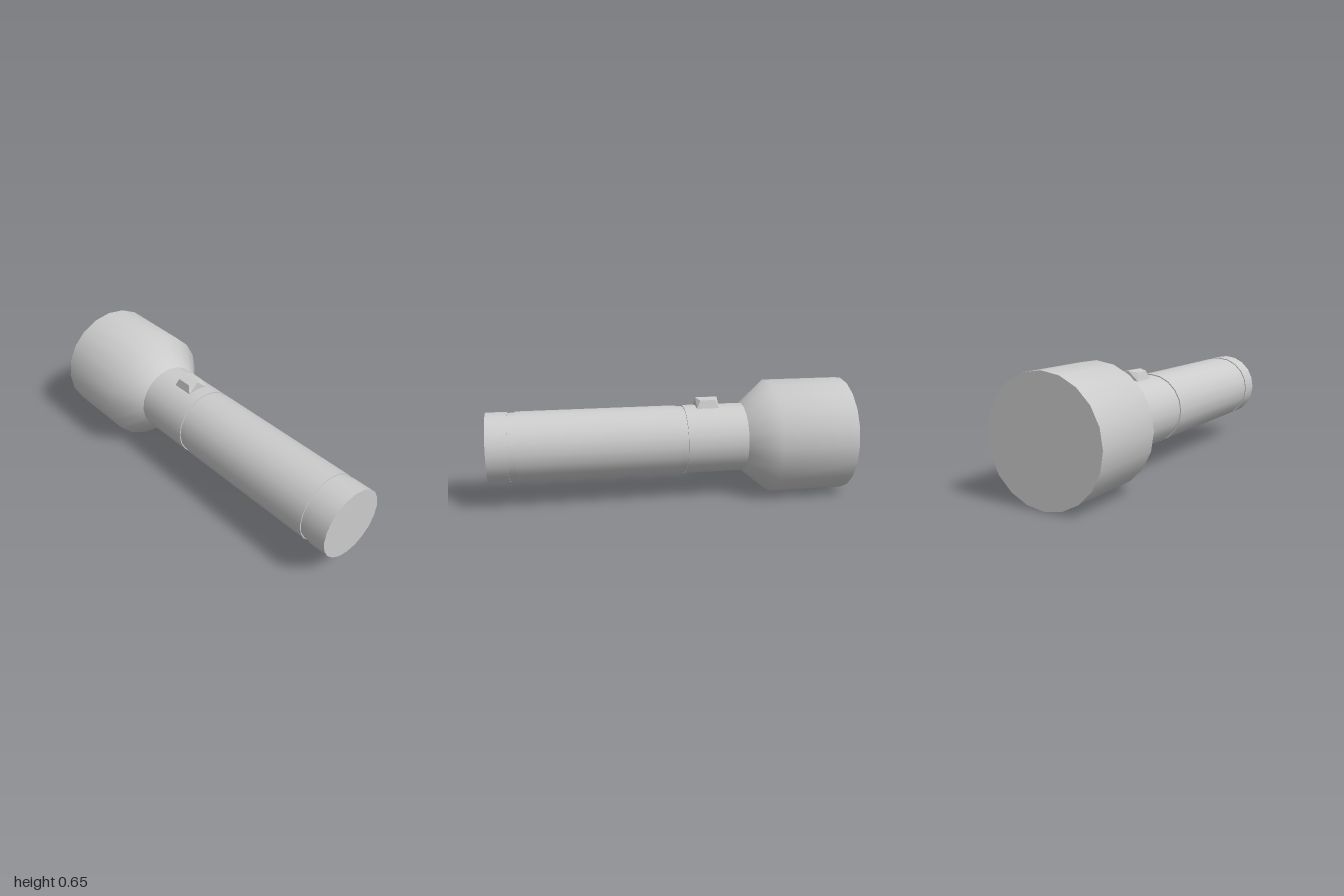
import * as THREE from 'three';
import { ConvexGeometry } from 'three/addons/geometries/ConvexGeometry.js';

const SIDES = 20;
const AXIS_Y = 0.323;
const HEAD_R = 0.323;
const BODY_R = 0.193;
const GROOVE_R = 0.187;

export function createModel() {
  const group = new THREE.Group();
  const material = new THREE.MeshStandardMaterial({ color: 0xcccccc });

  const add = (name, geometry, y = AXIS_Y) => {
    const mesh = new THREE.Mesh(geometry, material);
    mesh.name = name;
    mesh.position.y = y;
    group.add(mesh);
  };

  // Capped cylinder lying along x from x0 to x1
  const barrel = (name, x0, x1, radius) => {
    const geometry = new THREE.CylinderGeometry(radius, radius, x1 - x0, SIDES);
    geometry.rotateZ(-Math.PI / 2).translate((x0 + x1) / 2, 0, 0);
    add(name, geometry);
  };

  // Lamp head: cylinder flowing smoothly into a cone
  const profile = [[HEAD_R, -1], [HEAD_R, -0.565], [BODY_R, -0.413]];
  const head = new THREE.LatheGeometry(profile.map(([r, x]) => new THREE.Vector2(r, x)), SIDES);
  add('lampHead', head.rotateZ(-Math.PI / 2));

  // Flat lens closing the head
  const lens = new THREE.CircleGeometry(HEAD_R, SIDES);
  add('lens', lens.rotateY(-Math.PI / 2).translate(-1, 0, 0));

  // Neck, handle and tail cap, separated by shallow grooves
  barrel('neck', -0.413, -0.075, BODY_R);
  barrel('frontGroove', -0.075, -0.035, GROOVE_R);
  barrel('handle', -0.035, 0.845, BODY_R);
  barrel('rearGroove', 0.845, 0.885, GROOVE_R);
  barrel('tailCap', 0.885, 1, BODY_R);

  // Faceted switch: long centre ridge, top corners drawn inwards
  const points = [];
  for (const sx of [-1, 1]) {
    points.push(new THREE.Vector3(sx * 0.062, 0.56, 0));
    for (const sz of [-1, 1]) {
      points.push(new THREE.Vector3(sx * 0.062, 0.505, sz * 0.06));
      points.push(new THREE.Vector3(sx * 0.042, 0.551, sz * 0.047));
    }
  }
  add('switchButton', new ConvexGeometry(points).translate(-0.208, 0, 0), 0);

  return group;
}
